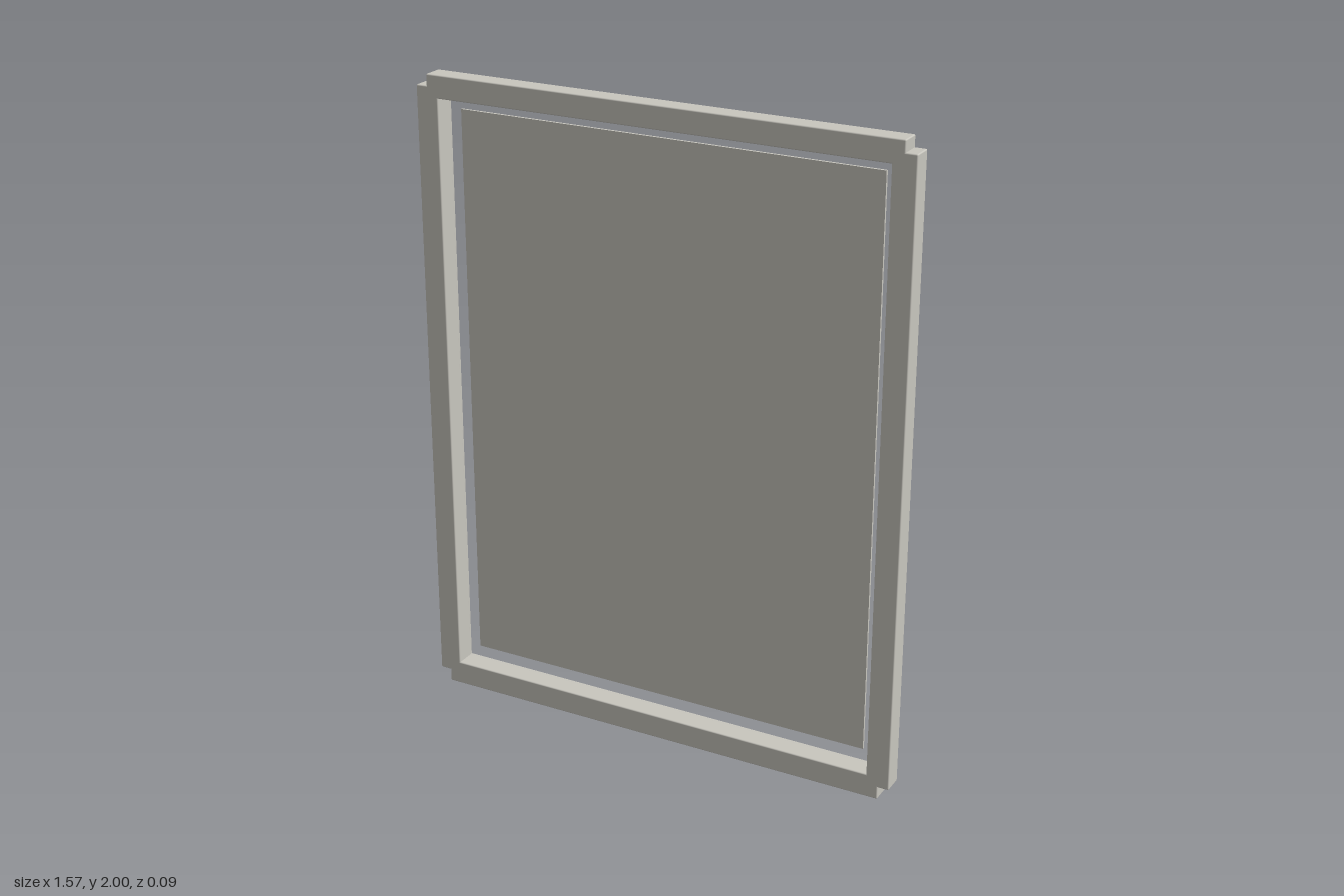
import * as THREE from 'three';
import { RoundedBoxGeometry } from 'three/addons/geometries/RoundedBoxGeometry.js';

export function createModel() {
  const model = new THREE.Group();
  model.name = 'framedPanel';

  const grey = new THREE.MeshStandardMaterial({ color: 0xc8c6be });
  grey.name = 'warmGrey';
  const copper = new THREE.MeshStandardMaterial({ color: 0xc8937f });
  copper.name = 'copper';

  // Box given by its limits on each axis; a radius softens its edges
  function block(name, [x0, x1], [y0, y1], [z0, z1], material = grey, radius = 0) {
    const size = [x1 - x0, y1 - y0, z1 - z0];
    const geometry = radius
      ? new RoundedBoxGeometry(...size, 2, radius)
      : new THREE.BoxGeometry(...size);
    const mesh = new THREE.Mesh(geometry, material);
    mesh.name = name;
    mesh.position.set((x0 + x1) / 2, (y0 + y1) / 2, (z0 + z1) / 2);
    model.add(mesh);
  }

  // Outer frame: side bars are set in from the top and bottom rails
  const barZ = [-0.02, 0.045];
  block('topRail', [-0.75, 0.75], [1.93, 2], barZ, grey, 0.004);
  block('bottomRail', [-0.75, 0.75], [0, 0.075], barZ, grey, 0.004);
  block('leftBar', [0.712, 0.785], [0.04, 1.965], barZ, grey, 0.004);
  block('rightBar', [-0.785, -0.712], [0.04, 1.965], barZ, grey, 0.004);

  // Thin rim on the back of the frame
  const rim = new THREE.Shape();
  rim.moveTo(-0.745, 0.04).lineTo(0.745, 0.04).lineTo(0.745, 1.962).lineTo(-0.745, 1.962).closePath();
  const opening = new THREE.Path();
  opening.moveTo(-0.715, 0.073).lineTo(-0.715, 1.932).lineTo(0.715, 1.932).lineTo(0.715, 0.073).closePath();
  rim.holes.push(opening);
  const rimMesh = new THREE.Mesh(
    new THREE.ExtrudeGeometry(rim, { depth: 0.009, bevelEnabled: false }), grey);
  rimMesh.name = 'backRim';
  rimMesh.position.z = -0.028;
  model.add(rimMesh);

  // Main panel with its backing sheet
  block('panel', [-0.675, 0.672], [0.115, 1.89], [-0.028, -0.02]);
  block('backingSheet', [-0.6, 0.6], [0.19, 1.815], [-0.036, -0.028]);

  // Plates mounted on the back
  block('copperPlate', [-0.15, 0.36], [0.83, 1.365], [-0.045, -0.036], copper);
  block('smallPlate', [-0.312, -0.075], [0.6, 0.79], [-0.045, -0.036]);

  return model;
}
